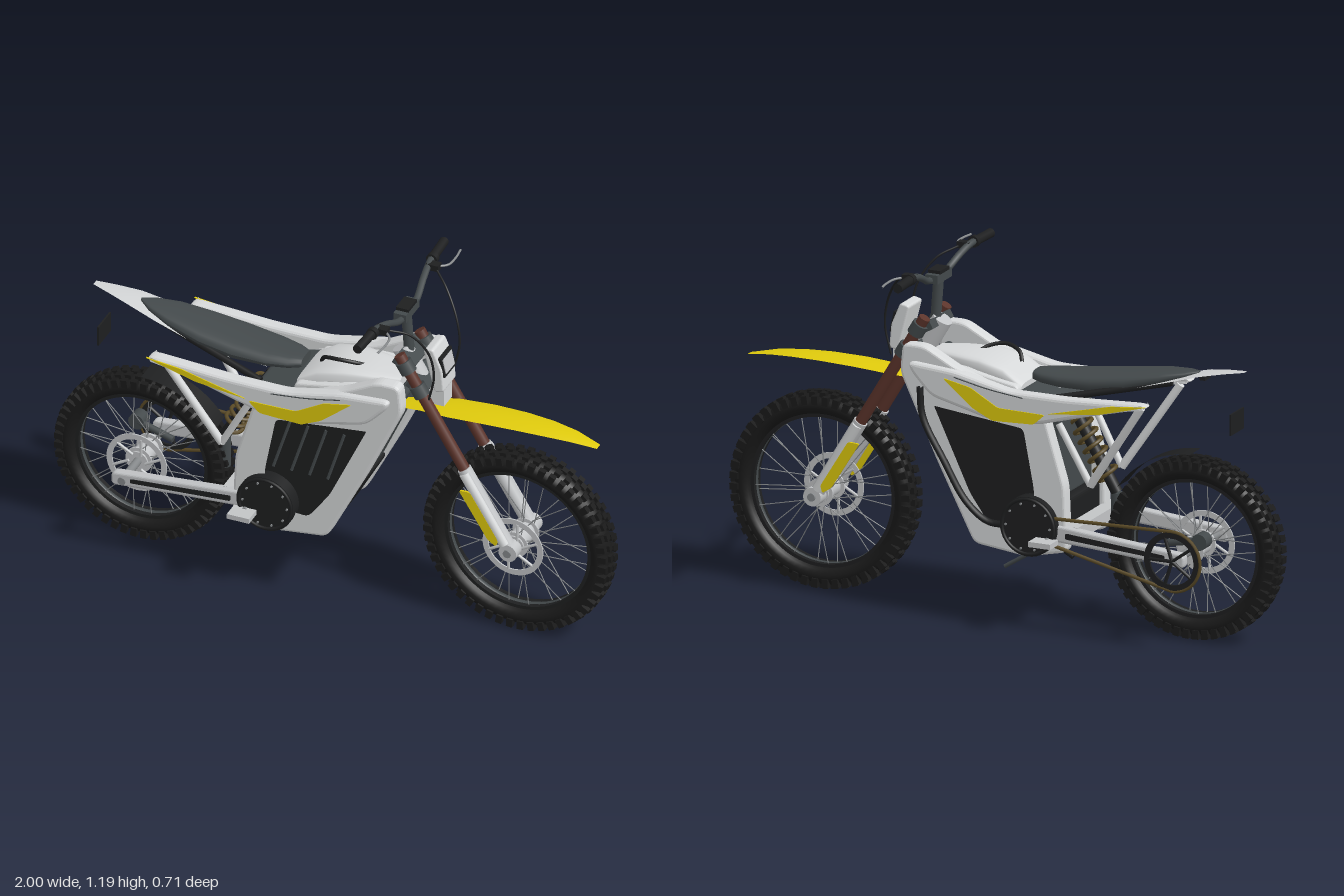
import * as THREE from 'three';
import { mergeGeometries } from 'three/addons/utils/BufferGeometryUtils.js';

const mat = (name, color, side = THREE.FrontSide) => Object.assign(new THREE.MeshStandardMaterial({ color, side }), { name });
const white = mat('white', 0xd6d8d9), silver = mat('silver', 0xc2c4c6), grey = mat('dark grey', 0x43494b);
const black = mat('black', 0x1e1f20, THREE.DoubleSide), rubber = mat('rubber', 0x1a1a1a), brown = mat('bronze', 0x5c342b);
const yellow = mat('yellow', 0xe0cb0c, THREE.DoubleSide), tailWhite = mat('tail white', 0xcfd1d2, THREE.DoubleSide);
const steel = mat('steel', 0x85888a), brass = mat('dark brass', 0x5a4a26);

const V = (p) => new THREE.Vector3(...p);

function add(parent, name, geo, material, pos = [0, 0, 0]) {
  const m = new THREE.Mesh(geo, material);
  m.name = name;
  m.position.set(...pos);
  parent.add(m);
  return m;
}
const box = (p, name, size, pos, material) => add(p, name, new THREE.BoxGeometry(...size), material, pos);
const disc = (r, depth, n = 32) => new THREE.CylinderGeometry(r, r, depth, n).rotateX(Math.PI / 2);

// Straight rod between two points
function rodGeo(a, b, r, n = 14) {
  const d = V(b).sub(V(a));
  const g = new THREE.CylinderGeometry(r, r, d.length(), n);
  g.applyQuaternion(new THREE.Quaternion().setFromUnitVectors(new THREE.Vector3(0, 1, 0), d.normalize()));
  const c = V(a).add(V(b)).multiplyScalar(0.5);
  return g.translate(c.x, c.y, c.z);
}
const rod = (p, name, a, b, r, material, n) => add(p, name, rodGeo(a, b, r, n), material);
const tube = (p, name, pts, r, material, seg = 32) =>
  add(p, name, new THREE.TubeGeometry(new THREE.CatmullRomCurve3(pts.map(V)), seg, r, 8), material);

// Closed outline with rounded corners
function outline(pts, r, Type = THREE.Shape) {
  const s = new Type(), n = pts.length, P = pts.map((p) => new THREE.Vector2(...p));
  P.forEach((c, i) => {
    const a = P[(i + n - 1) % n], b = P[(i + 1) % n];
    const toward = (q) => c.clone().add(q.clone().sub(c).setLength(Math.min(r, q.distanceTo(c) * 0.45)));
    const s0 = toward(a), s1 = toward(b);
    if (i === 0) s.moveTo(s0.x, s0.y); else s.lineTo(s0.x, s0.y);
    s.quadraticCurveTo(c.x, c.y, s1.x, s1.y);
  });
  s.closePath();
  return s;
}
// Side-profile plate centred on z
function plate(p, name, pts, z, depth, material, { r = 0.02, bevel = 0, hole } = {}) {
  const s = outline(pts, r);
  if (hole) s.holes.push(outline(hole, r, THREE.Path));
  const g = new THREE.ExtrudeGeometry(s, {
    depth: depth - 2 * bevel, bevelEnabled: bevel > 0, bevelThickness: bevel, bevelSize: bevel, bevelOffset: -bevel, bevelSegments: 3, curveSegments: 5,
  });
  return add(p, name, g.translate(0, 0, z - depth / 2 + bevel), material);
}
// Solid through rounded cross-sections [x, y, halfHeight, halfWidth]
function loft(p, name, secs, material, power = 0.75) {
  const m = secs.length - 1, g = new THREE.CylinderGeometry(1, 1, 1, 20, m).rotateZ(Math.PI / 2), a = g.attributes.position;
  const sq = (v) => Math.sign(v) * Math.abs(v) ** power;
  for (let i = 0; i < a.count; i++) {
    const [x, y, h, w] = secs[Math.round((a.getX(i) + 0.5) * m)];
    a.setXYZ(i, x, y + h * sq(a.getY(i)), w * sq(a.getZ(i)));
  }
  g.computeVertexNormals();
  return add(p, name, g, material);
}
// Thin curved sheet through rows [x, y, halfWidth, edgeDrop]
function sheet(p, name, rows, material) {
  const m = rows.length - 1, g = new THREE.PlaneGeometry(1, 2, m, 6).rotateX(-Math.PI / 2), a = g.attributes.position;
  for (let i = 0; i < a.count; i++) {
    const [x, y, w, d] = rows[Math.round((a.getX(i) + 0.5) * m)], t = a.getZ(i);
    a.setXYZ(i, x, y - d * t * t, w * t);
  }
  g.computeVertexNormals();
  return add(p, name, g, material);
}
function ringPlate(R, r, depth, n = 40) {
  const s = new THREE.Shape().absarc(0, 0, R, 0, Math.PI * 2);
  s.holes.push(new THREE.Path().absarc(0, 0, r, 0, Math.PI * 2));
  return new THREE.ExtrudeGeometry(s, { depth, bevelEnabled: false, curveSegments: n }).translate(0, 0, -depth / 2);
}
const around = (n, f) => mergeGeometries(Array.from({ length: n }, (_, i) => f((i / n) * Math.PI * 2, i)).flat());

function wheel(name, x, y, R) {
  const w = new THREE.Group();
  w.name = name;
  w.position.set(x, y, 0);
  add(w, 'tyre', new THREE.TorusGeometry(R - 0.044, 0.035, 14, 72).scale(1, 1, 1.3), rubber);
  // Tread knobs: two centre rows between two shoulder rows
  add(w, 'tread', around(52, (t) => [-0.041, -0.014, 0.014, 0.041].map((z, k) => {
    const side = k % 3 === 0;
    return new THREE.BoxGeometry(side ? 0.03 : 0.018, 0.022, side ? 0.02 : 0.022)
      .translate(R - (side ? 0.022 : 0.009), 0, z).rotateZ(t + (side ? 0.06 : (k - 1) * 0.04));
  })), rubber);
  add(w, 'rim', ringPlate(R - 0.064, R - 0.084, 0.05, 32), black);
  add(w, 'rimEdge', new THREE.TorusGeometry(R - 0.083, 0.003, 6, 64).scale(1, 1, 3), grey);
  // Crossed spokes
  add(w, 'spokes', around(32, (t, i) => {
    const s = i % 2 ? 1 : -1, q = t + (i % 4 < 2 ? 0.45 : -0.45);
    return rodGeo([0.04 * Math.cos(t), 0.04 * Math.sin(t), s * 0.045], [(R - 0.08) * Math.cos(q), (R - 0.08) * Math.sin(q), s * 0.012], 0.0018, 5);
  }), steel);
  add(w, 'hub', disc(0.034, 0.11), silver);
  for (const s of [-1, 1]) add(w, 'hubFlange', disc(0.047, 0.008), silver, [0, 0, s * 0.045]);
  // Brake disc
  add(w, 'brakeDisc', ringPlate(0.108, 0.088, 0.005), silver, [0, 0, 0.062]);
  add(w, 'discArms', around(6, (t) => rodGeo([0.03 * Math.cos(t), 0.03 * Math.sin(t), 0.062], [0.092 * Math.cos(t + 0.35), 0.092 * Math.sin(t + 0.35), 0.062], 0.005, 6)), silver);
  return w;
}

export function createModel() {
  const g = new THREE.Group();
  g.name = 'electricDirtBike';
  g.add(wheel('frontWheel', 0.66, 0.345, 0.335), wheel('rearWheel', -0.69, 0.32, 0.31));
  rod(g, 'frontAxle', [0.66, 0.345, -0.115], [0.66, 0.345, 0.115], 0.014, steel);
  rod(g, 'rearAxle', [-0.69, 0.32, -0.19], [-0.69, 0.32, 0.19], 0.014, steel);

  // Battery, motor core and tank
  plate(g, 'batteryCase', [[0.25, 0.855], [0.24, 0.74], [0.11, 0.45], [-0.25, 0.45], [-0.25, 0.77], [-0.1, 0.81]], 0, 0.25, grey, { bevel: 0.008 });
  plate(g, 'motorCase', [[0.13, 0.465], [0.02, 0.268], [-0.15, 0.262], [-0.28, 0.3], [-0.28, 0.465]], 0, 0.25, black, { bevel: 0.012 });
  plate(g, 'tankCover', [[0.2, 0.862], [0.2, 0.8], [-0.1, 0.78], [-0.1, 0.825], [0.1, 0.862]], 0, 0.25, white, { bevel: 0.008 });
  loft(g, 'tankCrown', [[-0.1, 0.81, 0.018, 0.1], [-0.03, 0.84, 0.035, 0.105], [0.06, 0.855, 0.04, 0.1], [0.16, 0.86, 0.035, 0.08], [0.25, 0.86, 0.03, 0.05]], white, 0.5);
  tube(g, 'tankHandle', [[-0.045, 0.865, 0.02], [-0.025, 0.895, 0.04], [0.03, 0.91, 0.055], [0.08, 0.902, 0.04], [0.11, 0.885, 0.015]], 0.007, black);

  for (const s of [1, -1]) {
    // Side frame plate with dark insert
    plate(g, 'sideFrame', [[0.3, 0.938], [0.31, 0.84], [0.18, 0.56], [0.04, 0.285], [-0.15, 0.262], [-0.3, 0.295], [-0.29, 0.52], [-0.22, 0.75], [-0.1, 0.8], [0.1, 0.875], [0.22, 0.938]],
      s * 0.15, 0.05, white, { bevel: 0.01, r: 0.025, hole: [[-0.15, 0.71], [0.2, 0.75], [0.06, 0.45], [-0.02, 0.34], [-0.2, 0.35], [-0.19, 0.5]] });
    plate(g, 'sideInsert', [[-0.16, 0.73], [0.21, 0.76], [0.08, 0.44], [-0.02, 0.32], [-0.21, 0.33], [-0.2, 0.5]], s * 0.138, 0.03, black);
    // Upper body panel and painted accents
    plate(g, 'bodyPanel', [[0.27, 0.885], [0.265, 0.855], [0.19, 0.775], [-0.03, 0.72], [-0.2, 0.725], [-0.4, 0.78], [-0.6, 0.83], [-0.58, 0.842], [-0.3, 0.828], [-0.1, 0.828], [0.1, 0.872]],
      s * 0.172, 0.05, white, { bevel: 0.014, r: 0.03 });
    plate(g, 'rearAccent', [[-0.6, 0.838], [-0.47, 0.825], [-0.24, 0.77], [-0.42, 0.79]], s * 0.1965, 0.007, yellow, { r: 0.006 });
    plate(g, 'sideAccent', [[-0.23, 0.765], [-0.06, 0.768], [0.04, 0.825], [0.14, 0.845], [0.03, 0.755], [-0.04, 0.722], [-0.19, 0.728]], s * 0.1965, 0.007, yellow, { r: 0.01 });
    tube(g, 'panelCrease', [[-0.15, 0.812, s * 0.197], [-0.02, 0.828, s * 0.197], [0.1, 0.852, s * 0.197]], 0.002, grey);

    // Rear subframe struts
    rod(g, 'subframeStrut', [-0.56, 0.82, s * 0.15], [-0.36, 0.52, s * 0.12], 0.014, white);
    rod(g, 'subframeBrace', [-0.36, 0.52, s * 0.12], [-0.25, 0.72, s * 0.13], 0.012, white);
    rod(g, 'seatRail', [-0.62, 0.885, s * 0.04], [-0.22, 0.8, s * 0.12], 0.012, black);

    // Swing arm with dark inset
    plate(g, 'swingArm', [[-0.18, 0.395], [-0.18, 0.335], [-0.5, 0.315], [-0.73, 0.295], [-0.73, 0.345], [-0.5, 0.365]], s * 0.168, 0.034, silver, { bevel: 0.008 });
    plate(g, 'swingArmInset', [[-0.3, 0.365], [-0.3, 0.345], [-0.66, 0.32], [-0.66, 0.335]], s * 0.1855, 0.004, black, { r: 0.005 });

    // Round motor cover with bolts
    add(g, 'motorCover', disc(0.102, 0.06, 40), black, [-0.17, 0.375, s * 0.17]);
    add(g, 'motorCoverRim', new THREE.TorusGeometry(0.094, 0.006, 8, 40), black, [-0.17, 0.375, s * 0.2]);
    add(g, 'motorBolts', around(10, (t) => disc(0.004, 0.008, 8).translate(0.08 * Math.cos(t), 0.08 * Math.sin(t), 0)), steel, [-0.17, 0.375, s * 0.201]);

    // Foot pegs
    box(g, 'footPeg', [0.08, 0.018, 0.062], [-0.24, 0.335, s * 0.23], silver);
    rod(g, 'pegMount', [-0.24, 0.335, s * 0.15], [-0.24, 0.335, s * 0.21], 0.012, steel);

    // Fork legs with guards
    const fork = (y, z = 0.082) => [0.66 - (y - 0.345) * 0.604, y, s * z];
    rod(g, 'forkUpper', fork(1.005), fork(0.58), 0.0195, brown, 18);
    rod(g, 'forkLower', fork(0.62), fork(0.36), 0.024, silver, 18);
    add(g, 'forkFoot', disc(0.032, 0.045, 20), silver, [0.66, 0.345, s * 0.086]);
    rod(g, 'forkGuard', fork(0.61, 0.096), fork(0.37, 0.096), 0.018, white, 12);
    plate(g, 'forkGuardAccent', [[0.487, 0.55], [0.527, 0.552], [0.627, 0.39], [0.62, 0.365], [0.59, 0.385]], s * 0.109, 0.008, yellow, { r: 0.008 });
    for (const y of [0.965, 0.885]) rod(g, 'forkClamp', fork(y + 0.018), fork(y - 0.018), 0.028, grey, 18);

    // Grips, levers and cables
    rod(g, 'grip', [0.235, 1.182, s * 0.25], [0.23, 1.182, s * 0.355], 0.016, black, 16);
    add(g, 'gripCollar', disc(0.02, 0.02, 16), black, [0.237, 1.182, s * 0.245]);
    box(g, 'leverMount', [0.045, 0.022, 0.03], [0.255, 1.178, s * 0.21], black);
    tube(g, 'lever', [[0.265, 1.178, s * 0.21], [0.295, 1.175, s * 0.24], [0.3, 1.174, s * 0.29], [0.295, 1.173, s * 0.34]], 0.004, steel);
    tube(g, 'cable', [[0.27, 1.175, s * 0.2], [0.33, 1.14, s * 0.15], [0.38, 1.06, s * 0.115], [0.395, 0.97, s * 0.105], [0.375, 0.87, s * 0.1]], 0.004, black);
  }
  // Grey ribs on the battery insert
  for (let i = 0; i < 4; i++) {
    const x = -0.1 + i * 0.065;
    rod(g, 'insertSlat', [x, 0.69, 0.151], [x - 0.06, 0.5, 0.151], 0.006, grey, 8);
  }

  // Steering head and bridge plates
  rod(g, 'headTube', [0.235, 0.985, 0], [0.33, 0.825, 0], 0.035, silver, 20);
  for (const y of [0.965, 0.885]) box(g, 'forkBridge', [0.07, 0.03, 0.16], [0.645 - (y - 0.345) * 0.604, y, 0], grey).rotation.z = -0.5;
  rod(g, 'frameCrossTube', [0.27, 0.85, -0.13], [0.27, 0.85, 0.13], 0.018, grey);

  // Handlebar
  rod(g, 'barStem', [0.262, 0.96, 0], [0.25, 1.12, 0], 0.018, grey);
  box(g, 'barClamp', [0.045, 0.03, 0.11], [0.25, 1.13, 0], grey);
  box(g, 'display', [0.045, 0.012, 0.07], [0.25, 1.15, 0], black);
  tube(g, 'handlebar', [[0.23, 1.182, -0.34], [0.237, 1.182, -0.22], [0.245, 1.162, -0.15], [0.255, 1.128, -0.07], [0.255, 1.124, 0],
    [0.255, 1.128, 0.07], [0.245, 1.162, 0.15], [0.237, 1.182, 0.22], [0.23, 1.182, 0.34]], 0.012, grey, 48);

  // Headlight mask
  const head = new THREE.Group();
  head.name = 'headlight';
  head.position.set(0.37, 0.95, 0);
  head.rotation.z = 0.22;
  g.add(head);
  plate(head, 'lightMask', [[-0.02, 0.082], [0.015, 0.082], [0.03, 0], [0.02, -0.08], [-0.015, -0.08]], 0, 0.104, white, { bevel: 0.006, r: 0.01 });
  box(head, 'lightBezel', [0.014, 0.072, 0.088], [0.026, 0.008, 0], black);
  box(head, 'lightLens', [0.004, 0.052, 0.07], [0.034, 0.008, 0], silver);
  box(g, 'fenderMount', [0.05, 0.065, 0.066], [0.375, 0.842, 0], white);

  // Fenders, seat and tail
  sheet(g, 'frontFender', [[0.22, 0.765, 0.03, 0.004], [0.32, 0.785, 0.045, 0.006], [0.42, 0.797, 0.06, 0.008], [0.54, 0.805, 0.062, 0.008], [0.66, 0.808, 0.058, 0.008], [0.76, 0.804, 0.05, 0.006], [0.85, 0.795, 0.036, 0.004], [0.94, 0.774, 0.014, 0]], yellow);
  sheet(g, 'tail', [[-0.868, 0.942, 0.012, 0], [-0.8, 0.935, 0.03, 0.002], [-0.72, 0.925, 0.05, 0.006], [-0.62, 0.898, 0.065, 0.006], [-0.45, 0.85, 0.08, 0.004], [-0.22, 0.825, 0.07, 0]], tailWhite);
  loft(g, 'seat', [[-0.7, 0.92, 0.006, 0.006], [-0.66, 0.912, 0.012, 0.035], [-0.58, 0.895, 0.022, 0.065], [-0.46, 0.869, 0.03, 0.085], [-0.34, 0.851, 0.032, 0.09], [-0.22, 0.843, 0.026, 0.08], [-0.15, 0.842, 0.022, 0.062], [-0.11, 0.842, 0.018, 0.04]], grey);
  box(g, 'numberPlate', [0.006, 0.072, 0.1], [-0.835, 0.768, 0], black);
  box(g, 'tailLight', [0.02, 0.012, 0.04], [-0.72, 0.905, 0], black);
  const guard = new THREE.CylinderGeometry(0.325, 0.325, 0.085, 20, 1, true, 0, 0.95).rotateX(Math.PI / 2).rotateZ(Math.PI / 2 + 0.6);
  add(g, 'rearGuard', guard, black, [-0.69, 0.32, 0]);

  // Shock absorber with coil spring
  const top = V([-0.23, 0.76, 0]), axis = V([-0.4, 0.47, 0]).sub(top);
  rod(g, 'shockBody', top.toArray(), [-0.4, 0.47, 0], 0.02, black);
  const coil = Array.from({ length: 73 }, (_, i) => {
    const t = i * Math.PI / 5, n = new THREE.Vector3(0.863, -0.506, 0).multiplyScalar(0.036 * Math.cos(t));
    const p = top.clone().addScaledVector(axis, 0.1 + 0.75 * i / 72).add(n);
    return [p.x, p.y, 0.036 * Math.sin(t)];
  });
  tube(g, 'shockSpring', coil, 0.007, brass, 160);
  rod(g, 'shockLink', [-0.4, 0.47, 0], [-0.4, 0.35, 0], 0.02, grey);
  box(g, 'swingArmBridge', [0.05, 0.045, 0.33], [-0.31, 0.36, 0], silver);

  // Chain drive outside the far swing arm
  add(g, 'sprocket', ringPlate(0.1, 0.08, 0.008), black, [-0.69, 0.32, -0.19]);
  add(g, 'sprocketArms', around(5, (t) => rodGeo([0, 0, 0], [0.085 * Math.cos(t), 0.085 * Math.sin(t), 0], 0.006, 6)), black, [-0.69, 0.32, -0.19]);
  add(g, 'sprocketChain', new THREE.TorusGeometry(0.102, 0.006, 6, 24, Math.PI).rotateZ(Math.PI / 2), brass, [-0.69, 0.32, -0.19]);
  for (const s of [1, -1]) rod(g, 'chain', [-0.17, 0.375 + s * 0.035, -0.19], [-0.69, 0.32 + s * 0.102, -0.19], 0.006, brass, 6);

  // Rear brake, pedal, stand and wiring
  add(g, 'rearCaliper', disc(0.028, 0.045, 16), grey, [-0.755, 0.375, -0.1]);
  rod(g, 'caliperArm', [-0.755, 0.375, -0.09], [-0.62, 0.345, -0.075], 0.012, grey);
  rod(g, 'brakePedal', [-0.2, 0.3, -0.185], [-0.08, 0.225, -0.185], 0.007, grey);
  rod(g, 'sideStand', [-0.2, 0.3, -0.08], [-0.28, 0.255, -0.08], 0.01, black);
  tube(g, 'wiring', [[0.23, 0.8, -0.185], [0.22, 0.7, -0.185], [0.14, 0.56, -0.19], [0.06, 0.43, -0.188], [-0.02, 0.37, -0.186], [-0.1, 0.37, -0.185]], 0.012, black);
  return g;
}
